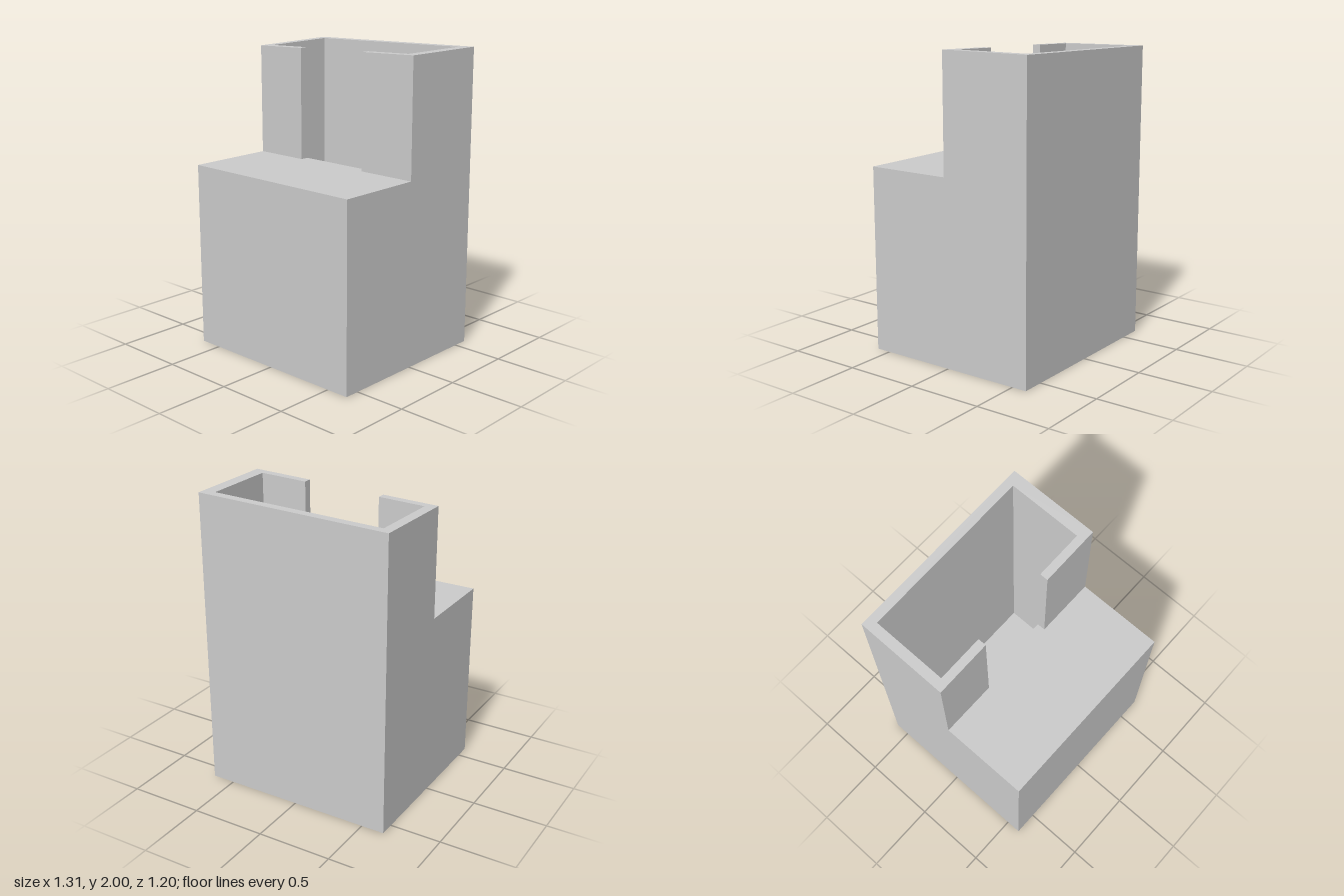
import * as THREE from 'three';

const W = 0.655, D = 0.6;              // half width, half depth
const STEP = 1.23, FLOOR = 0.06;       // ledge height, cavity floor
const FRONT = 0.015;                   // front face of the upper walls
const IN = { l: -0.59, r: 0.575, back: -0.54, front: -0.04 };
const GAP = { l: -0.28, r: 0.25 };     // opening between the front lips

const material = new THREE.MeshStandardMaterial({ color: 0xcccccc, flatShading: true });

// Plan points are [x, z]; the extrusion rises along y.
const toPoints = (list) => list.map(([x, z]) => new THREE.Vector2(x, -z));
const rect = (l, r, back, front) => [[l, front], [r, front], [r, back], [l, back]];

function prism(plan, y0, y1, hole) {
  const shape = new THREE.Shape(toPoints(plan));
  if (hole) shape.holes.push(new THREE.Path(toPoints(hole)));
  const geo = new THREE.ExtrudeGeometry(shape, { depth: y1 - y0, bevelEnabled: false });
  return geo.rotateX(-Math.PI / 2).translate(0, y0, 0);
}

// Gently sloping top rim, lowest at the front right corner of the model.
function rimHeight(x, z) {
  const drop = 0.01 * ((W - x) / (2 * W)) * ((z + D) / (FRONT + D));
  return 1.985 + 0.023 * x - drop;
}

export function createModel() {
  const group = new THREE.Group();
  const add = (name, geo) => {
    const mesh = new THREE.Mesh(geo, material);
    mesh.name = name;
    group.add(mesh);
  };
  const cavity = rect(IN.l, IN.r, IN.back, IN.front);

  // Lower block with the cavity sunk into its rear half
  add('baseBlock', prism(rect(-W, W, -D, D), 0, STEP, cavity));
  add('cavityFloor', prism(cavity, 0, FLOOR));

  // Upper C-shaped wall with two front lips
  const walls = prism([
    [-W, FRONT], [GAP.l, FRONT], [GAP.l, IN.front], [IN.l, IN.front],
    [IN.l, IN.back], [IN.r, IN.back], [IN.r, IN.front], [GAP.r, IN.front],
    [GAP.r, FRONT], [W, FRONT], [W, -D], [-W, -D],
  ], STEP, 2);
  const p = walls.attributes.position;
  for (let i = 0; i < p.count; i++) {
    if (p.getY(i) > 1.9) p.setY(i, rimHeight(p.getX(i), p.getZ(i)));
  }
  walls.computeVertexNormals();
  add('upperWalls', walls);

  return group;
}
